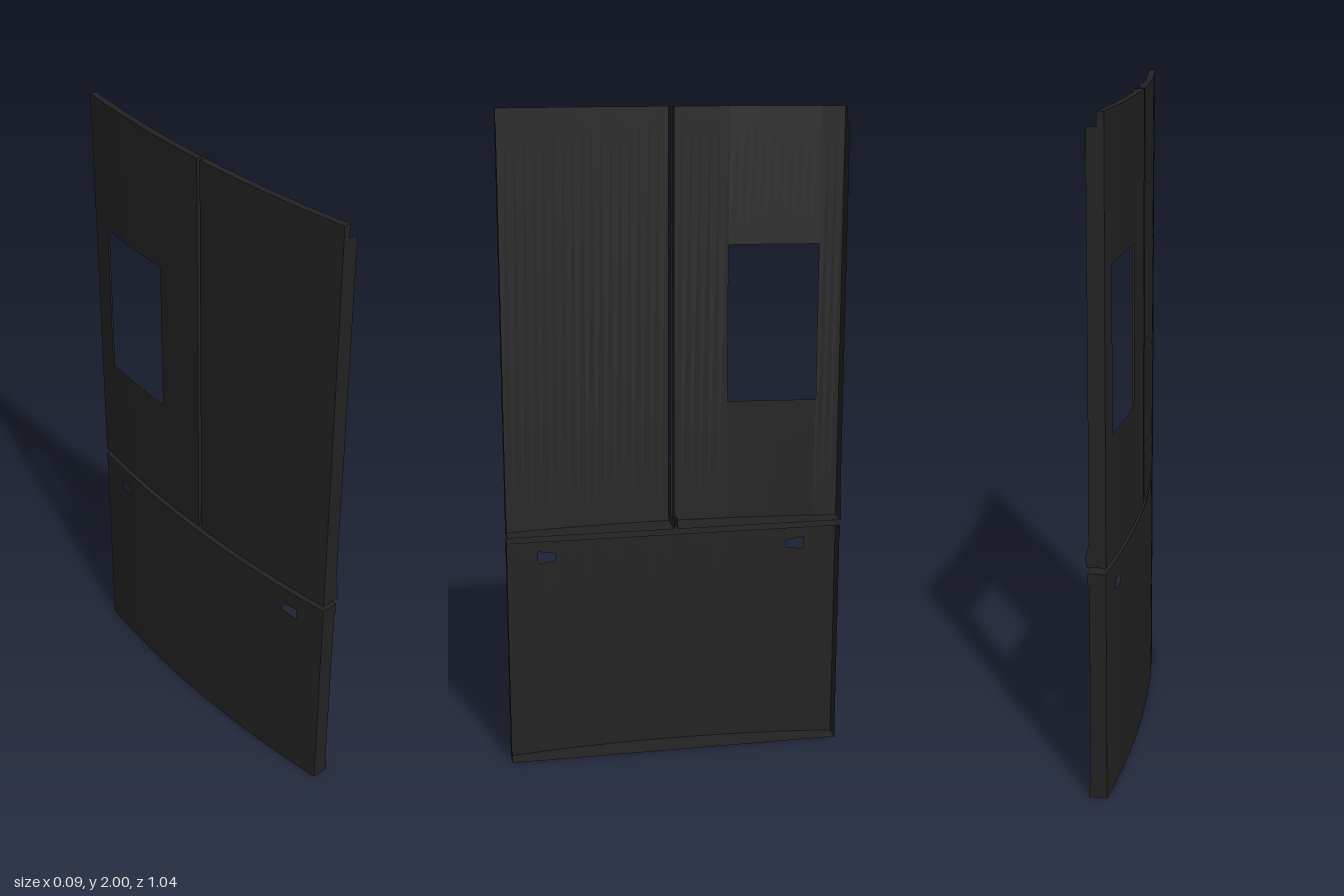
import * as THREE from 'three';

const HALF = 0.52;          // half width of the whole front
const BACK = 0.036;         // rear edge of the side walls
const LIP = 0.045;          // rear edge of the horizontal flanges
const bow = z => -0.049 + 0.037 * (z / HALF) ** 2; // curved front line

const black = new THREE.MeshStandardMaterial({ color: 0x222222, side: THREE.DoubleSide });
black.name = 'blackPanel';

// Sheet made from two edge rules, swept along z
function sheet(name, z0, z1, edgeA, edgeB) {
  const n = Math.max(2, Math.ceil(Math.abs(z1 - z0) / 0.03));
  const pos = [], idx = [];
  for (let i = 0; i <= n; i++) {
    const z = z0 + (z1 - z0) * i / n;
    const a = edgeA(z), b = edgeB(z);
    pos.push(a[0], a[1], z, b[0], b[1], z);
    if (i < n) idx.push(2 * i, 2 * i + 2, 2 * i + 1, 2 * i + 1, 2 * i + 2, 2 * i + 3);
  }
  const g = new THREE.BufferGeometry();
  g.setAttribute('position', new THREE.Float32BufferAttribute(pos, 3));
  g.setIndex(idx);
  g.computeVertexNormals();
  const mesh = new THREE.Mesh(g, black);
  mesh.name = name;
  return mesh;
}

// Upright curved skin between two heights (numbers or rules of z)
function skin(z0, z1, low, high) {
  const at = (v, z) => (typeof v === 'function' ? v(z) : v);
  return sheet('frontSkin', z0, z1, z => [bow(z), at(low, z)], z => [bow(z), at(high, z)]);
}

// Horizontal flange from the skin back to depth(z)
function flange(name, z0, z1, y, depth) {
  return sheet(name, z0, z1, z => [bow(z), y], z => [depth(z), y]);
}

// Upright wall at constant z, drawn as an (x, y) outline
function wall(name, z, points) {
  const shape = new THREE.Shape(points.map(p => new THREE.Vector2(p[0], p[1])));
  const mesh = new THREE.Mesh(new THREE.ShapeGeometry(shape), black);
  mesh.position.z = z;
  mesh.name = name;
  return mesh;
}

// One upper door; zIn is the centre edge, zOut the hinge edge
function door(name, zIn, zOut, opening) {
  const g = new THREE.Group();
  g.name = name;
  const y0 = 0.735, y1 = 2;
  const lo = Math.min(zIn, zOut), hi = Math.max(zIn, zOut);
  if (opening) {
    const [a, b, c, d] = opening;
    g.add(skin(lo, a, y0, y1), skin(b, hi, y0, y1), skin(a, b, y0, c), skin(a, b, d, y1));
  } else g.add(skin(lo, hi, y0, y1));
  g.add(flange('topFlange', lo, hi, y1, z => bow(z) + 0.02));
  g.add(flange('bottomFlange', lo, hi, y0, () => LIP));
  // Hinge wall, notched at the top and flared at the bottom
  const x = bow(zOut), s = x + 0.02;
  g.add(wall('hingeWall', zOut, [[x, y0], [LIP, y0], [LIP, 0.77], [BACK, 0.81],
    [BACK, 1.96], [s, 1.96], [s, y1], [x, y1]]));
  // Shallow centre wall with a deeper foot
  const c = bow(zIn), r = c + 0.035;
  g.add(wall('centreWall', zIn, [[c, y0], [LIP, y0], [LIP, y0 + 0.03], [r, y0 + 0.03],
    [r, y1], [c, y1]]));
  return g;
}

// Lower drawer front with two tapered handle openings
function drawer() {
  const g = new THREE.Group();
  g.name = 'drawerFront';
  const y0 = 0.005, y1 = 0.718, a = 0.365, b = 0.42;
  const low = z => 0.634 - 0.006 * (Math.abs(z) - a) / (b - a);
  const high = z => 0.657 + 0.010 * (Math.abs(z) - a) / (b - a);
  g.add(skin(-a, a, y0, y1));
  for (const s of [-1, 1]) {
    const [h0, h1] = s > 0 ? [a, b] : [-b, -a];
    const [e0, e1] = s > 0 ? [b, HALF] : [-HALF, -b];
    g.add(skin(h0, h1, y0, low), skin(h0, h1, high, y1), skin(e0, e1, y0, y1));
    const x = bow(HALF);
    g.add(wall('sideWall', s * HALF, [[x, y0], [LIP - 0.004, y0], [LIP - 0.004, 0.04],
      [BACK, 0.045], [BACK, 0.68], [LIP - 0.004, 0.685], [LIP - 0.004, y1], [x, y1]]));
  }
  g.add(flange('topFlange', -HALF, HALF, y1, () => LIP - 0.004));
  g.add(flange('bottomFlange', -HALF, HALF, y0, () => LIP - 0.004));
  g.position.y = -0.005 + 0.003;
  return g;
}

export function createModel() {
  const model = new THREE.Group();
  model.name = 'curvedDoorPanels';
  model.add(door('plainDoor', 0.008, HALF, null));
  model.add(door('doorWithOpening', -0.004, -HALF, [-0.45, -0.175, 1.108, 1.59]));
  model.add(drawer());
  return model;
}
